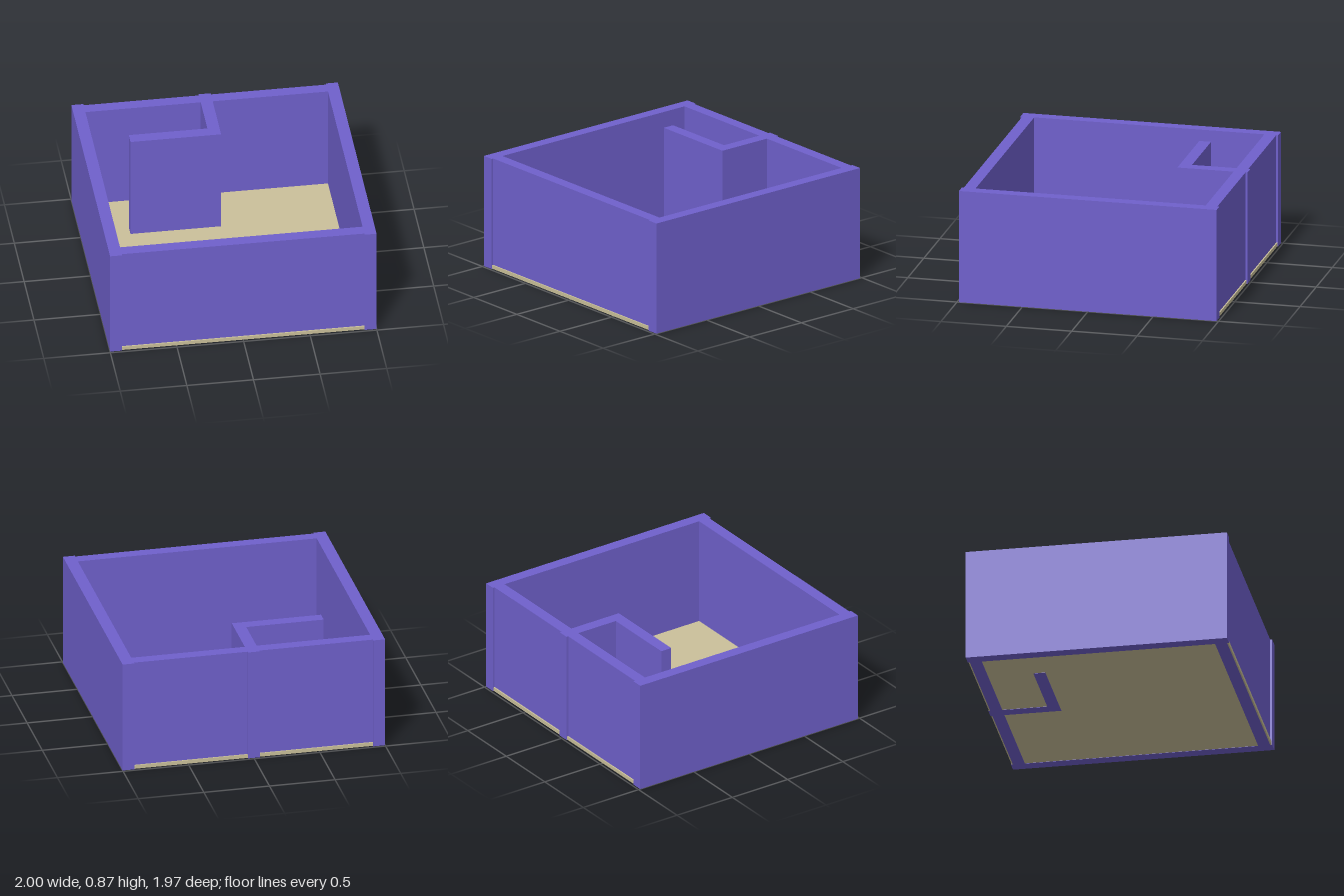
import * as THREE from 'three';

const HEIGHT = 0.865;
const T = 0.09; // wall thickness

export function createModel() {
  const model = new THREE.Group();
  model.name = 'room';
  const wallMat = new THREE.MeshStandardMaterial({ color: 0x6f60cc });
  const floorMat = new THREE.MeshStandardMaterial({ color: 0xcac09a });

  // Box given by its extents on each axis
  const addBox = (name, mat, [x0, x1], [y0, y1], [z0, z1]) => {
    const mesh = new THREE.Mesh(new THREE.BoxGeometry(x1 - x0, y1 - y0, z1 - z0), mat);
    mesh.position.set((x0 + x1) / 2, (y0 + y1) / 2, (z0 + z1) / 2);
    mesh.name = name;
    model.add(mesh);
  };
  const addWall = (name, x, z) => addBox(name, wallMat, x, [0, HEIGHT], z);

  // Floor slab, a hair above the wall bottoms and just proud of the end walls
  addBox('floor', floorMat, [-0.92, 0.92], [0.002, 0.03], [-0.98, 0.98]);

  // Side walls run the full depth
  addWall('leftWall', [1 - T, 1], [-0.985, 0.985]);
  addWall('rightWall', [-1, -1 + T], [-0.985, 0.985]);

  // End walls sit slightly recessed between them; the back one is split by the partition
  addWall('frontWall', [-0.91, 0.91], [0.88, 0.88 + T]);
  addWall('backWallLeft', [T / 2, 0.91], [-0.88 - T, -0.88]);
  addWall('backWallRight', [-0.91, -T / 2], [-0.88 - T, -0.88]);

  // L-shaped inner partition
  addWall('partitionSpine', [-T / 2, T / 2], [-0.985, -0.45]);
  addWall('partitionReturn', [-0.635, -T / 2], [-0.45 - T, -0.45]);

  return model;
}
